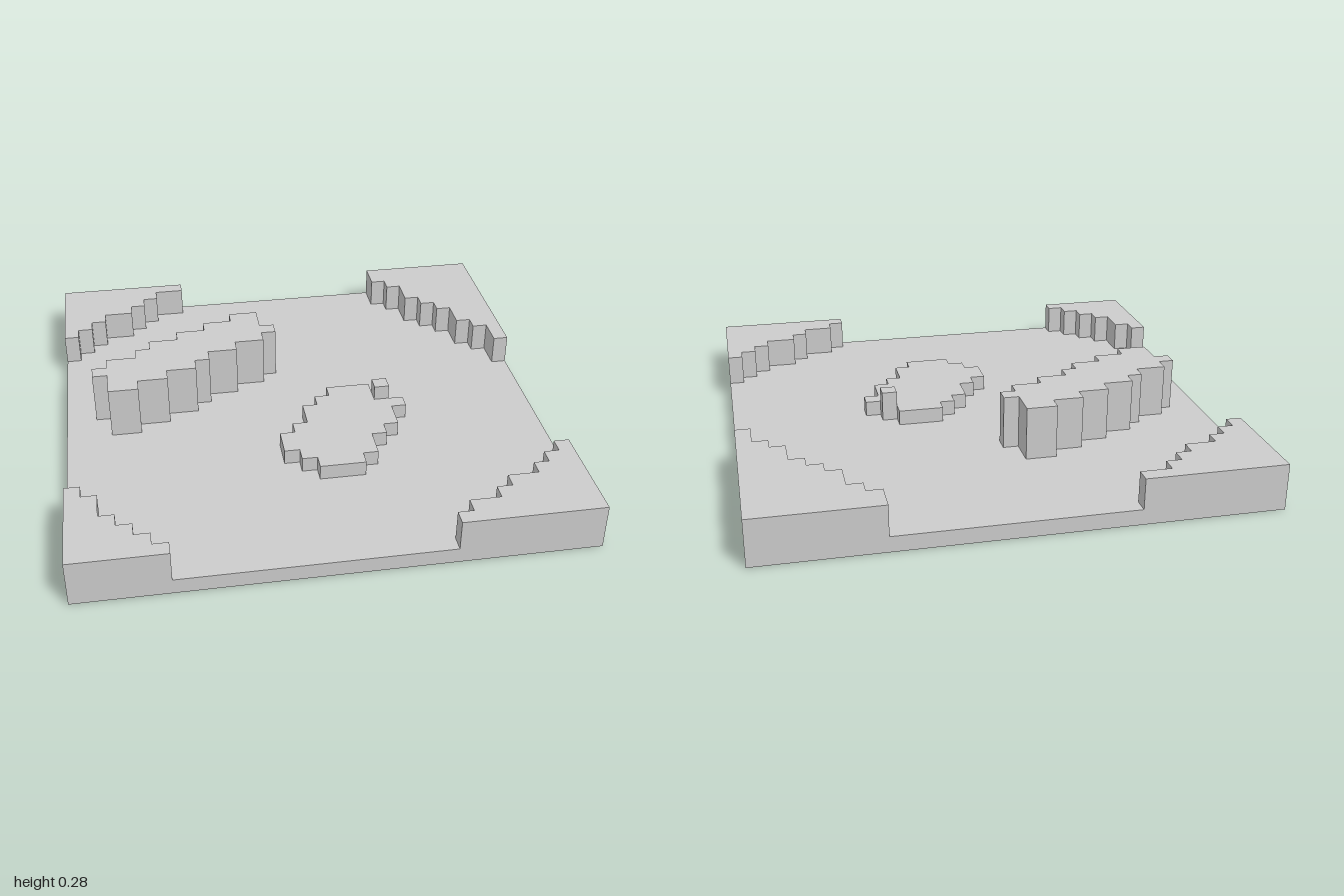
import * as THREE from 'three';

const N = 32, U = 2 / N; // cells per side, cell size

// Each raised part: height in cells, first row, then [start, end] columns per row.
const fromLeft = (widths) => widths.map((w) => [-16, -16 + w]);
const fromRight = (widths) => widths.map((w) => [16 - w, 16]);
const terraces = [
  { name: 'backRightCornerCliff', height: 3, row: -16, spans: fromLeft([9, 7, 6, 5, 3, 2, 1]) },
  { name: 'backLeftCornerCliff', height: 3, row: -16, spans: fromRight([8, 8, 7, 6, 6, 5, 4, 3, 3, 2, 1, 1]) },
  { name: 'frontRightCornerCliff', height: 3, row: 9, spans: fromLeft([1, 2, 2, 3, 4, 5, 6]) },
  { name: 'frontLeftCornerCliff', height: 3, row: 9, spans: fromRight([1, 2, 3, 5, 6, 8, 9]) },
  {
    name: 'highRidge', height: 4.5, row: -8,
    spans: [[-4, -2], [-6, -2], [-8, -1], [-10, -2], [-11, -4], [-13, -6], [-14, -7], [-13, -9], [-13, -11]],
  },
  {
    name: 'lowMound', height: 2, row: -1,
    spans: [[2, 5], [1, 5], [0, 7], [0, 6], [-1, 6], [-2, 5], [-2, 4], [-1, 4], [0, 3]],
  },
  { name: 'moundBlock', height: 3, row: 0, spans: [[5, 6]] },
];
const floor = { name: 'groundFloor', height: 1 };

// Which part owns a cell; null outside the tile
function ownerAt(x, z) {
  if (x < -16 || x >= 16 || z < -16 || z >= 16) return null;
  return terraces.find((t) => {
    const span = t.spans[z - t.row];
    return span && x >= span[0] && x < span[1];
  }) || floor;
}

// Top faces and the walls down to lower neighbours; the underside stays open
function partGeometry(part) {
  const pos = [];
  const quad = (a, b, c, d) => {
    for (const p of [a, b, c, a, c, d]) pos.push(p[0] * U, p[1] * U, p[2] * U);
  };
  const h = part.height;
  for (let z = -16; z < 16; z++) {
    for (let x = -16; x < 16; x++) {
      if (ownerAt(x, z) !== part) continue;
      // Corners run counter-clockwise seen from above
      const ring = [[x, z], [x, z + 1], [x + 1, z + 1], [x + 1, z]];
      quad(...ring.map(([cx, cz]) => [cx, h, cz]));
      [[-1, 0], [0, 1], [1, 0], [0, -1]].forEach(([dx, dz], i) => {
        const neighbour = ownerAt(x + dx, z + dz);
        const low = neighbour ? neighbour.height : 0;
        if (low >= h) return;
        const [ax, az] = ring[i], [bx, bz] = ring[(i + 1) % 4];
        quad([ax, low, az], [bx, low, bz], [bx, h, bz], [ax, h, az]);
      });
    }
  }
  const geometry = new THREE.BufferGeometry();
  geometry.setAttribute('position', new THREE.Float32BufferAttribute(pos, 3));
  geometry.computeVertexNormals();
  return geometry;
}

export function createModel() {
  const group = new THREE.Group();
  group.name = 'steppedTerrainTile';
  const material = new THREE.MeshStandardMaterial({
    color: 0xcccccc, flatShading: true, side: THREE.DoubleSide,
  });
  for (const part of [floor, ...terraces]) {
    const mesh = new THREE.Mesh(partGeometry(part), material);
    mesh.name = part.name;
    group.add(mesh);
  }
  return group;
}
